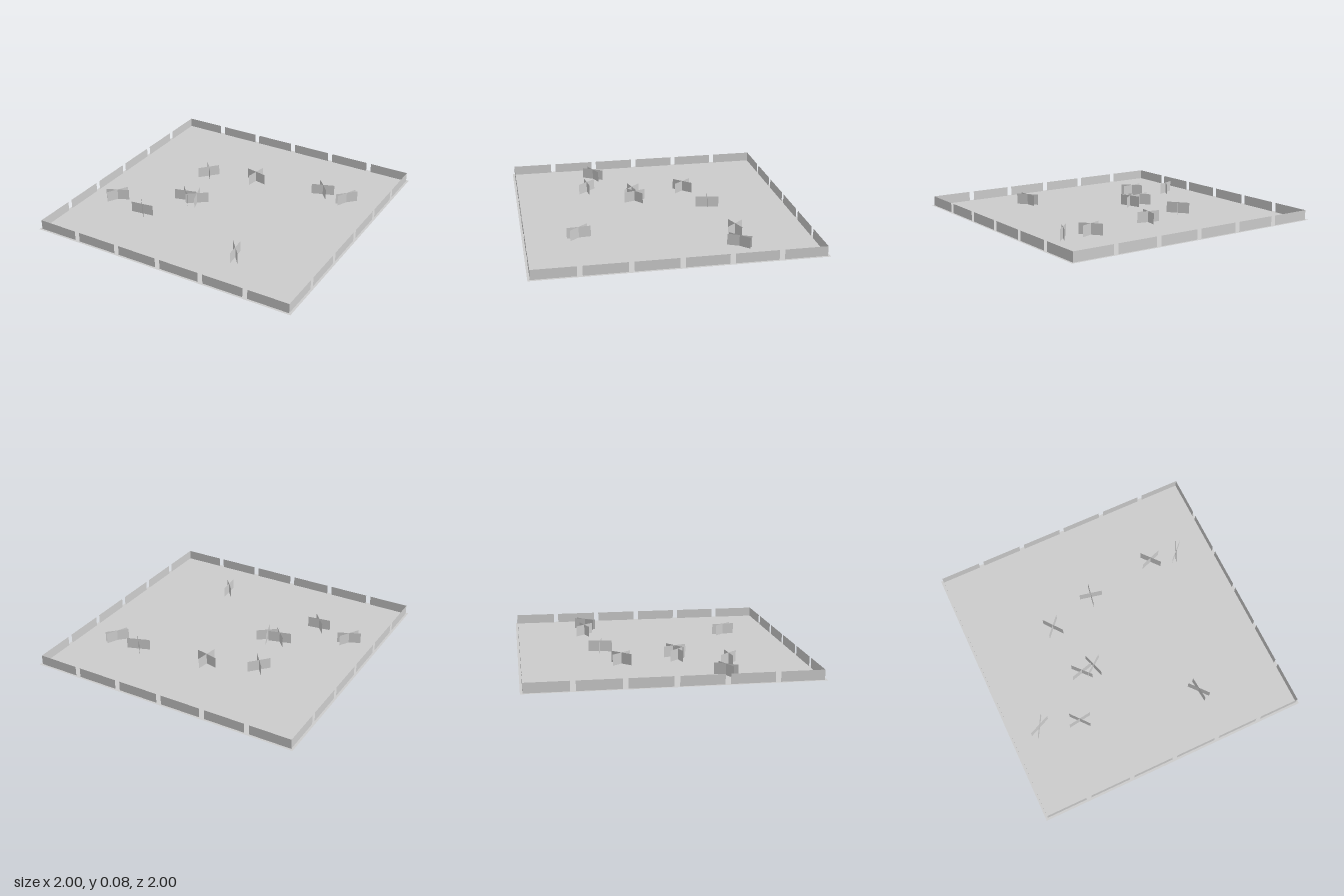
import * as THREE from 'three';

const grey = new THREE.MeshStandardMaterial({ color: 0xcccccc, side: THREE.DoubleSide });
grey.name = 'plain grey';

// Upright sheet standing on y = 0
function sheet(name, width, height, x, z, yaw) {
  const geometry = new THREE.PlaneGeometry(width, height).translate(0, height / 2, 0);
  const mesh = new THREE.Mesh(geometry, grey);
  mesh.name = name;
  mesh.position.set(x, 0, z);
  mesh.rotation.y = yaw;
  return mesh;
}

export function createModel() {
  const model = new THREE.Group();
  model.name = 'fencedField';

  // Flat square ground
  const ground = new THREE.Mesh(new THREE.PlaneGeometry(2, 2).rotateX(-Math.PI / 2), grey);
  ground.name = 'ground';
  model.add(ground);

  // Six fence panels along each of the four sides, facing outwards
  for (let side = 0; side < 4; side++) {
    const fence = new THREE.Group();
    fence.name = 'fence' + ['Front', 'Left', 'Back', 'Right'][side];
    fence.rotation.y = side * Math.PI / 2;
    for (let i = 0; i < 6; i++) {
      fence.add(sheet('fencePanel', 0.298, 0.07, (i - 2.5) * 0.334, 0.984, 0));
    }
    model.add(fence);
  }

  // Grass tufts of two crossed sheets: x, z and the heading of each sheet in degrees
  const tufts = [
    [-0.775, 0.367, 156, 120],
    [-0.495, 0.449, -8, 50],
    [-0.33, 0.122, 165, 228],
    [-0.235, 0.115, 142, 252],
    [-0.38, -0.287, 132, 232],
    [-0.02, -0.4, 192, 280],
    [0.515, -0.472, 160, 230],
    [0.72, -0.449, -45, -65],
    [0.38, 0.608, -95, -130],
  ];
  for (const [x, z, ...headings] of tufts) {
    const tuft = new THREE.Group();
    tuft.name = 'grassTuft';
    for (const h of headings) {
      tuft.add(sheet('grassSheet', 0.17, 0.08, x, z, -THREE.MathUtils.degToRad(h)));
    }
    model.add(tuft);
  }
  return model;
}
